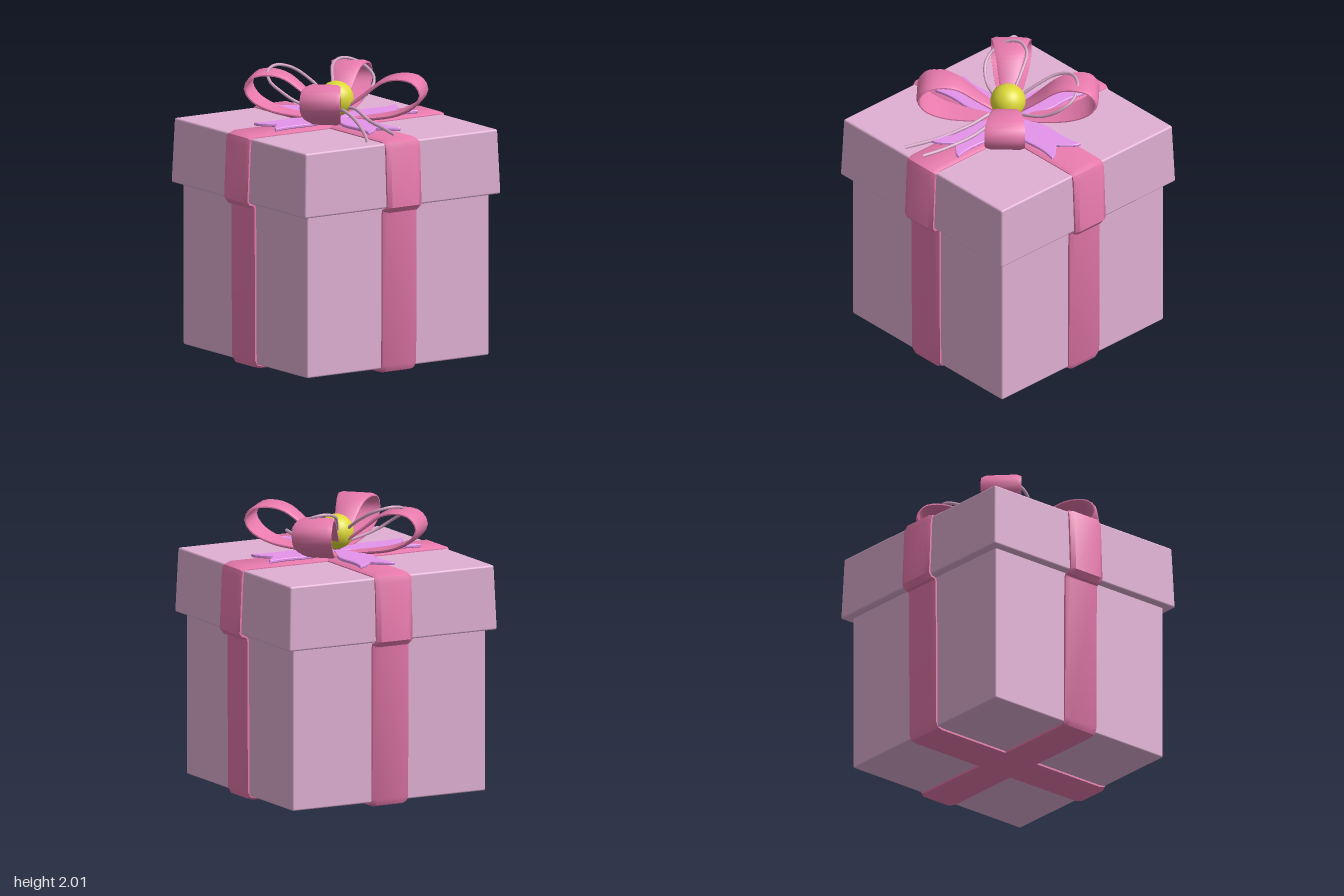
import * as THREE from 'three';
import { toCreasedNormals } from 'three/addons/utils/BufferGeometryUtils.js';
import { RoundedBoxGeometry } from 'three/addons/geometries/RoundedBoxGeometry.js';

const paint = (color) => new THREE.MeshStandardMaterial({ color });
const boxPink = paint(0xe0b0d4);
const ribbonPink = paint(0xe87aad);
const lilac = paint(0xe494ec);
const yellow = paint(0xdcd838);
const stringPink = paint(0xd4a4c4);

function add(parent, name, geometry, material) {
  const mesh = new THREE.Mesh(geometry, material);
  mesh.name = name;
  parent.add(mesh);
  return mesh;
}

// Ribbon cross-section: across the width, then out from the path
const SECTION = [[-1, 0], [-1, 0.45], [-0.78, 1], [0.78, 1], [1, 0.45], [1, 0]];

// Sweeps the ribbon section around a closed anticlockwise path in the xy plane
function ribbon(path, halfWidth, thickness) {
  const n = path.length, m = SECTION.length;
  const pos = [], index = [];
  path.forEach((p, i) => {
    const a = path[(i + n - 1) % n], b = path[(i + 1) % n];
    const inDir = p.clone().sub(a).normalize();
    const outDir = b.clone().sub(p).normalize();
    const t = inDir.add(outDir).normalize();
    for (const [s, h] of SECTION) {
      pos.push(p.x + t.y * h * thickness, p.y - t.x * h * thickness, s * halfWidth(p.x));
    }
    for (let j = 0; j < m; j++) {
      const k = (j + 1) % m, r = i * m, q = ((i + 1) % n) * m;
      index.push(r + j, q + j, r + k, r + k, q + j, q + k);
    }
  });
  const g = new THREE.BufferGeometry();
  g.setAttribute('position', new THREE.Float32BufferAttribute(pos, 3));
  g.setIndex(index);
  return toCreasedNormals(g, 0.7);
}

function tube(points, radius) {
  const curve = new THREE.CatmullRomCurve3(points.map((p) => new THREE.Vector3(...p)));
  return new THREE.TubeGeometry(curve, 60, radius, 8);
}

// Flat swallow-tailed ribbon end pointing along +x
function tailGeometry() {
  const s = new THREE.Shape();
  s.moveTo(0, -0.02);
  s.bezierCurveTo(0.12, -0.05, 0.2, -0.12, 0.32, -0.115);
  s.bezierCurveTo(0.42, -0.105, 0.48, -0.1, 0.585, -0.13);
  s.quadraticCurveTo(0.58, -0.09, 0.48, 0);
  s.quadraticCurveTo(0.58, 0.09, 0.585, 0.13);
  s.bezierCurveTo(0.48, 0.1, 0.42, 0.105, 0.32, 0.115);
  s.bezierCurveTo(0.2, 0.12, 0.12, 0.05, 0, 0.02);
  const g = new THREE.ExtrudeGeometry(s, {
    depth: 0.012, bevelThickness: 0.005, bevelSize: 0.005, bevelSegments: 1, curveSegments: 8,
  });
  return g.rotateX(-Math.PI / 2);
}

export function createModel() {
  const model = new THREE.Group();
  model.name = 'giftBox';

  // Box body
  add(model, 'boxBody', new RoundedBoxGeometry(1.51, 1.2, 1.51, 2, 0.012), boxPink)
    .position.y = 0.635;

  // Lid, slightly narrower at the top
  const lid = new RoundedBoxGeometry(1.63, 0.45, 1.63, 2, 0.014);
  const lp = lid.attributes.position;
  for (let i = 0; i < lp.count; i++) {
    const k = 1 - 0.02 * (lp.getY(i) / 0.45 + 0.5);
    lp.setX(i, lp.getX(i) * k);
    lp.setZ(i, lp.getZ(i) * k);
  }
  add(model, 'lid', lid, boxPink).position.y = 1.39;

  // Two ribbon bands wrapped round the box
  const side = [
    [0.71, 0.03], [0.742, 0.038], [0.755, 0.065], [0.76, 1.12], [0.768, 1.148], [0.79, 1.16],
    [0.805, 1.16], [0.82, 1.18], [0.803, 1.57], [0.795, 1.598], [0.765, 1.608],
  ].map(([x, y]) => new THREE.Vector2(x, y));
  const loop = [...side, ...side.map((p) => new THREE.Vector2(-p.x, p.y)).reverse()];
  const band = ribbon(loop, () => 0.141, 0.03);
  for (let i = 0; i < 2; i++) {
    add(model, 'ribbonBand', band, ribbonPink).rotation.y = i * Math.PI / 2;
  }

  // Four bow loops on the diagonals
  const bowCurve = new THREE.CatmullRomCurve3([
    [0.01, 1.655], [0.25, 1.675], [0.44, 1.715], [0.565, 1.785], [0.605, 1.86],
    [0.56, 1.93], [0.46, 1.95], [0.35, 1.925], [0.21, 1.82], [0.01, 1.668],
  ].map(([x, y]) => new THREE.Vector3(x, y, 0)));
  const bowPath = bowCurve.getSpacedPoints(40).map((p) => new THREE.Vector2(p.x, p.y));
  const bow = ribbon(bowPath, (r) => Math.min(0.14, 0.03 + 0.19 * r), 0.02);
  // The same path wound the other way gives the lining of the loop
  const lining = bow.clone();
  const inner = paint(0xe87aad);
  inner.side = THREE.DoubleSide;
  bow.dispose();
  for (let i = 0; i < 4; i++) {
    add(model, 'bowLoop', lining, inner).rotation.y = Math.PI / 4 + i * Math.PI / 2;
  }

  // Four lilac ribbon tails lying on the lid
  const tail = tailGeometry();
  for (let i = 0; i < 4; i++) {
    const t = add(model, 'ribbonTail', tail, lilac);
    t.position.y = 1.648;
    t.rotation.y = i * Math.PI / 2;
  }

  // Bead in the middle of the bow
  add(model, 'bead', new THREE.SphereGeometry(0.122, 32, 20), yellow).position.y = 1.79;

  // Cord: two upright loops leaning back and two loose ends in front
  const lean = (z) => (z > -0.1 ? 1.7 - 1.4 * z : 1.84 - 0.62 * (z + 0.1));
  const cordLoop = (pts) => tube(pts.map(([x, z]) => [x, lean(z), z]), 0.011);
  add(model, 'leftCordLoop', cordLoop([
    [0.01, 0], [0.12, -0.02], [0.29, -0.055], [0.4, -0.12], [0.427, -0.21],
    [0.37, -0.31], [0.28, -0.342], [0.18, -0.3], [0.1, -0.19], [0.03, -0.07], [0, 0],
  ]), stringPink);
  add(model, 'rightCordLoop', cordLoop([
    [-0.01, 0], [-0.12, -0.02], [-0.28, -0.06], [-0.37, -0.13], [-0.397, -0.22],
    [-0.35, -0.315], [-0.25, -0.353], [-0.15, -0.315], [-0.08, -0.2], [-0.03, -0.07], [0, 0],
  ]), stringPink);
  add(model, 'rightCordEnd', tube([
    [0, 1.7, 0], [-0.03, 1.73, 0.13], [-0.055, 1.7, 0.3], [-0.13, 1.655, 0.52], [-0.24, 1.622, 0.74],
  ], 0.012), stringPink);
  add(model, 'leftCordEnd', tube([
    [0, 1.7, 0], [0.045, 1.74, 0.13], [0.04, 1.685, 0.35], [0.005, 1.665, 0.6], [-0.035, 1.66, 0.765],
  ], 0.012), stringPink);

  return model;
}
